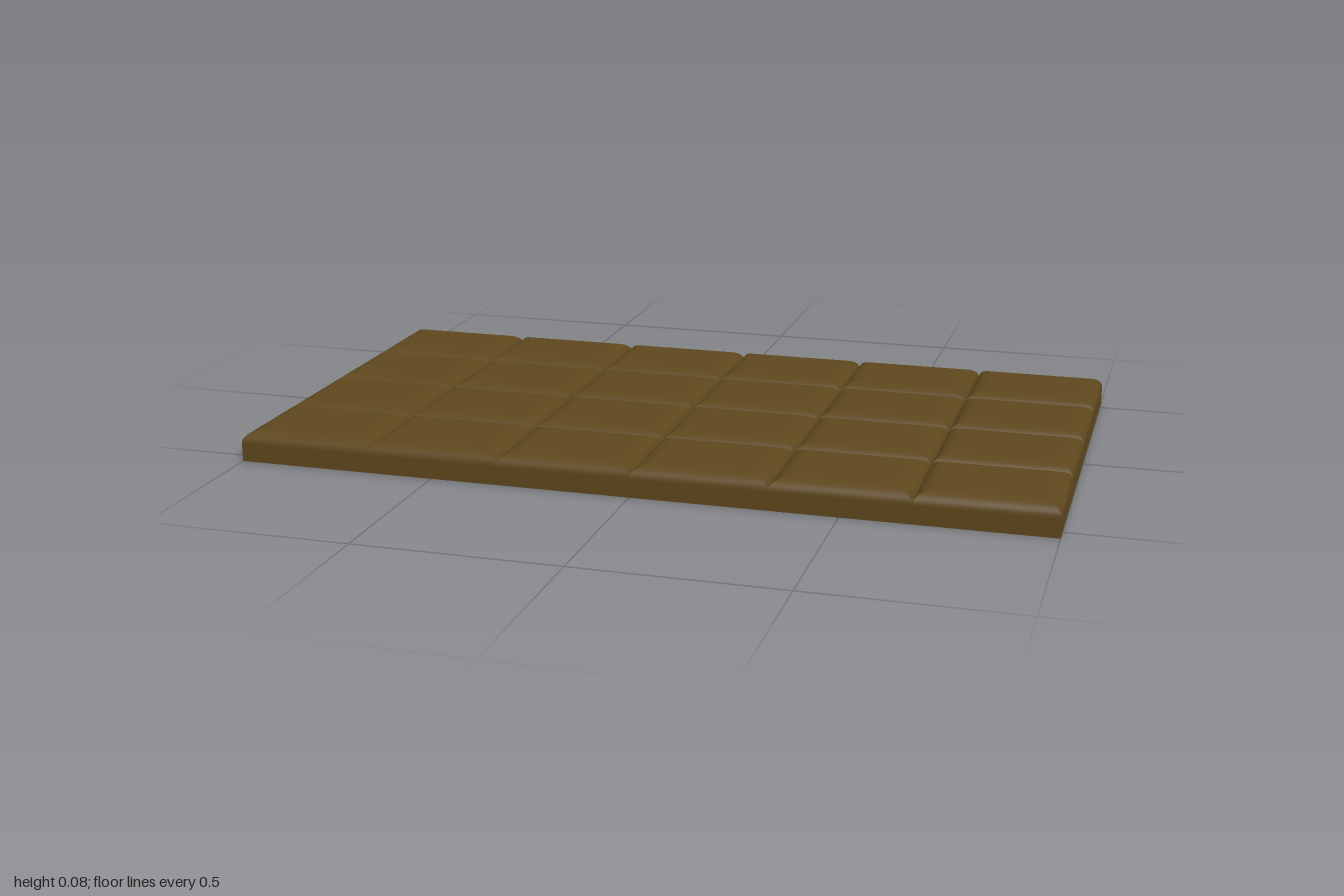
import * as THREE from 'three';

const COLS = 6, ROWS = 4;
const LENGTH = 2, WIDTH = 1.084;
const BASE = 0.047, TOP = 0.076, BEVEL = 0.042, STEPS = 8;

// Rounded-edge pillow with mitred corners, open underneath
function pillowGeometry(w, d) {
  const corners = [[-1, 1], [1, 1], [1, -1], [-1, -1]];
  const positions = [], indices = [];
  const add = ([sx, sz], t) => {
    const a = t * Math.PI / 2;
    const inset = BEVEL * (1 - Math.cos(a));
    positions.push(sx * (w / 2 - inset), BASE + (TOP - BASE) * Math.sin(a), sz * (d / 2 - inset));
  };

  // Four curved sides, each with its own vertices so the mitres stay sharp
  for (let k = 0; k < 4; k++) {
    const start = positions.length / 3;
    for (let i = 0; i <= STEPS; i++) {
      add(corners[k], i / STEPS);
      add(corners[(k + 1) % 4], i / STEPS);
      if (i < STEPS) {
        const n = start + i * 2;
        indices.push(n, n + 1, n + 3, n, n + 3, n + 2);
      }
    }
  }

  // Flat top
  const n = positions.length / 3;
  corners.forEach(c => add(c, 1));
  indices.push(n, n + 1, n + 2, n, n + 2, n + 3);

  const geometry = new THREE.BufferGeometry();
  geometry.setAttribute('position', new THREE.Float32BufferAttribute(positions, 3));
  geometry.setIndex(indices);
  geometry.computeVertexNormals();
  return geometry;
}

export function createModel() {
  const bar = new THREE.Group();
  bar.name = 'chocolateBar';
  const chocolate = new THREE.MeshStandardMaterial({ color: 0x5e471d });

  // Slab under the squares, without its hidden top face
  const slabGeometry = new THREE.BoxGeometry(LENGTH, BASE, WIDTH).translate(0, BASE / 2, 0);
  const faces = Array.from(slabGeometry.index.array);
  faces.splice(12, 6);
  slabGeometry.setIndex(faces);
  slabGeometry.clearGroups();
  const slab = new THREE.Mesh(slabGeometry, chocolate);
  slab.name = 'slab';
  bar.add(slab);

  // Grid of squares meeting in V-shaped grooves
  const w = LENGTH / COLS, d = WIDTH / ROWS;
  const squareGeometry = pillowGeometry(w, d);
  const squares = new THREE.Group();
  squares.name = 'squares';
  for (let r = 0; r < ROWS; r++) {
    for (let c = 0; c < COLS; c++) {
      const square = new THREE.Mesh(squareGeometry, chocolate);
      square.name = `square${r + 1}_${c + 1}`;
      square.position.set((c + 0.5) * w - LENGTH / 2, 0, (r + 0.5) * d - WIDTH / 2);
      squares.add(square);
    }
  }
  bar.add(squares);
  return bar;
}
